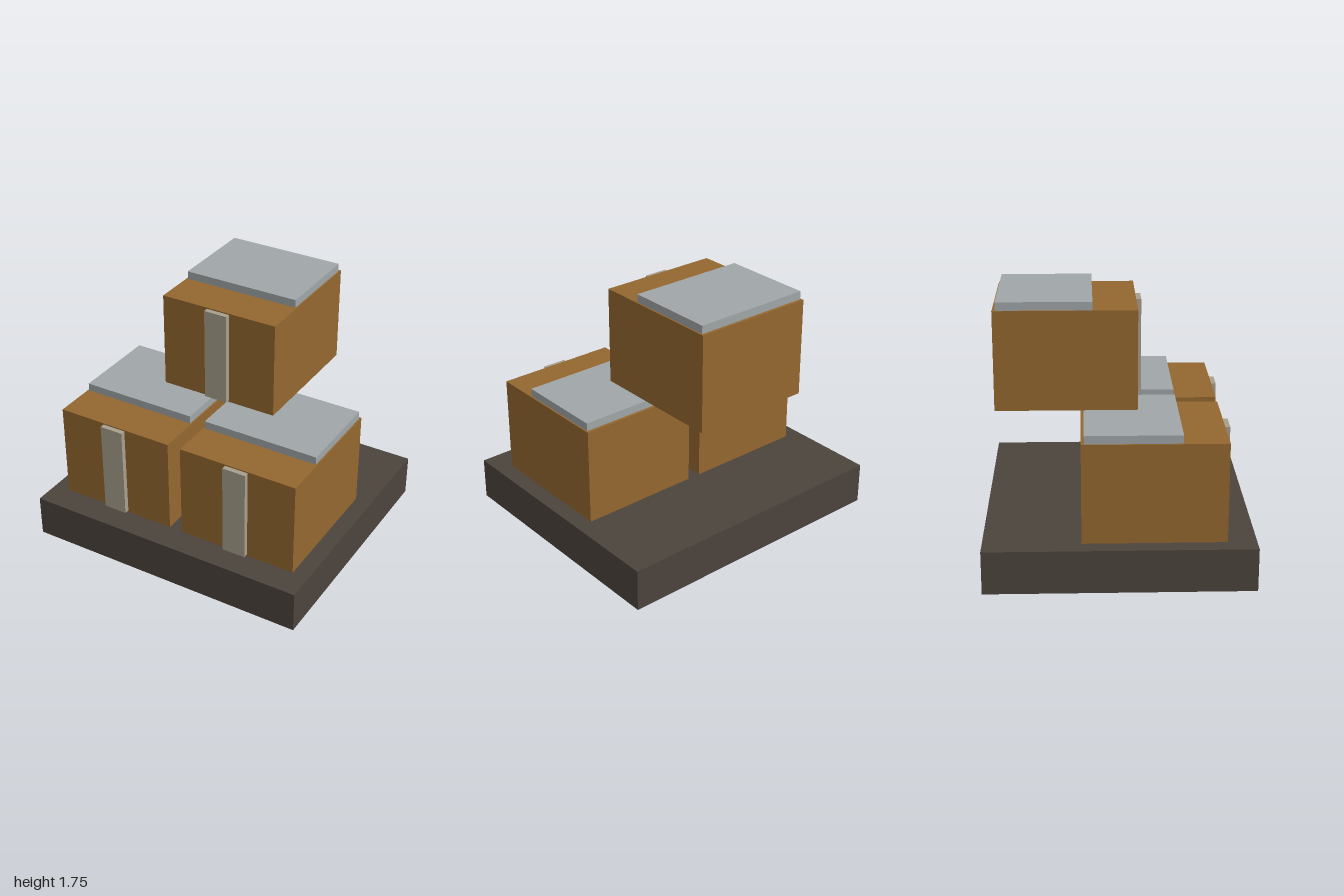
import * as THREE from 'three';

const material = (color) => new THREE.MeshStandardMaterial({ color });

// Box centred on x and z, standing on y
function block(name, [w, h, d], [x, y, z], mat) {
  const mesh = new THREE.Mesh(new THREE.BoxGeometry(w, h, d), mat);
  mesh.name = name;
  mesh.position.set(x, y + h / 2, z);
  return mesh;
}

export function createModel() {
  const model = new THREE.Group();
  model.name = 'crateStack';

  const stone = material(0x4c443d);
  const wood = material(0x946730);
  const metal = material(0xa0a6a8);
  const strap = material(0xa89f8c);

  // Base slab
  model.add(block('base', [2, 0.29, 1.75], [0, 0, 0], stone));

  // One crate: body, lid plate towards the back, vertical strip on the front
  function crate(name, x, y, z) {
    const group = new THREE.Group();
    group.name = name;
    group.add(
      block('crateBody', [0.84, 0.665, 0.93], [0, 0, 0], wood),
      block('lidPlate', [0.82, 0.055, 0.62], [0, 0.665, -0.135], metal),
      block('frontStrip', [0.165, 0.645, 0.035], [0, 0.012, 0.4825], strap),
    );
    group.position.set(x, y, z);
    return group;
  }

  // Two lower crates side by side, one upper crate set back above them
  model.add(
    crate('leftCrate', 0.467, 0.29, 0.222),
    crate('rightCrate', -0.467, 0.29, 0.222),
    crate('upperCrate', 0, 1.025, -0.335),
  );
  return model;
}
